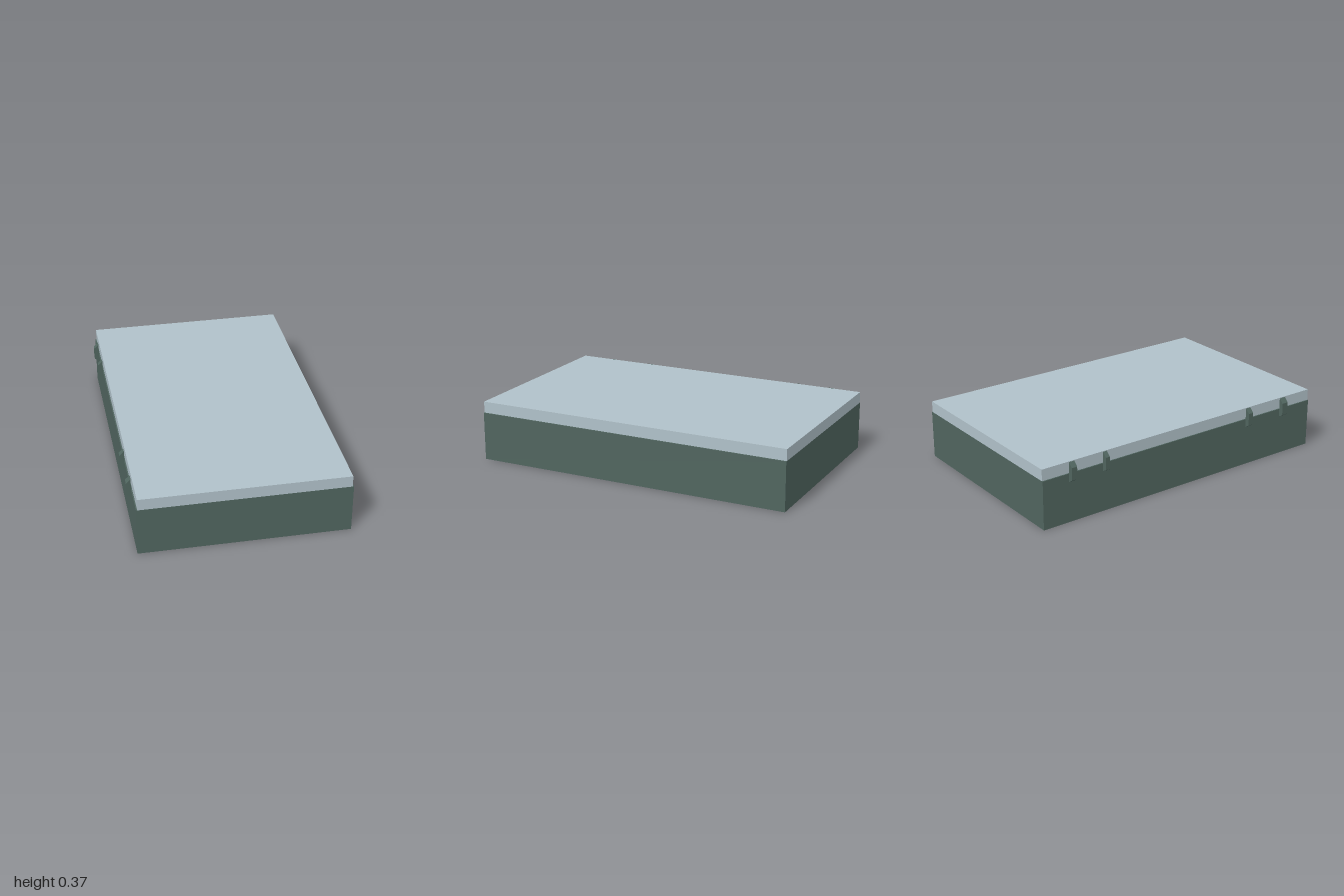
import * as THREE from 'three';

const GREEN = new THREE.MeshStandardMaterial({ color: 0x50655f });
const PALE = new THREE.MeshStandardMaterial({ color: 0xb0c1c9 });

// Box given by its x and y limits, full length along z
function slab(name, material, x0, x1, y0, y1) {
  const mesh = new THREE.Mesh(new THREE.BoxGeometry(x1 - x0, y1 - y0, 2), material);
  mesh.position.set((x0 + x1) / 2, (y0 + y1) / 2, 0);
  mesh.name = name;
  return mesh;
}

export function createModel() {
  const model = new THREE.Group();
  model.name = 'slabWithClips';

  // Dark base and the slightly narrower pale top
  model.add(slab('base', GREEN, -0.61, 0.635, 0, 0.3));
  model.add(slab('topPanel', PALE, -0.603, 0.627, 0.3, 0.37));

  // Bevelled clips along the right edge
  const profile = new THREE.Shape([
    new THREE.Vector2(-0.61, 0.248),
    new THREE.Vector2(-0.61, 0.37),
    new THREE.Vector2(-0.638, 0.343),
    new THREE.Vector2(-0.638, 0.267),
  ]);
  const clips = new THREE.Group();
  clips.name = 'clips';
  for (const [z, width] of [[-0.807, 0.036], [-0.58, 0.028], [0.493, 0.034], [0.775, 0.042]]) {
    const geometry = new THREE.ExtrudeGeometry(profile, { depth: width, bevelEnabled: false });
    const clip = new THREE.Mesh(geometry, GREEN);
    clip.position.z = z - width / 2;
    clip.name = 'clip';
    clips.add(clip);
  }
  model.add(clips);
  return model;
}
